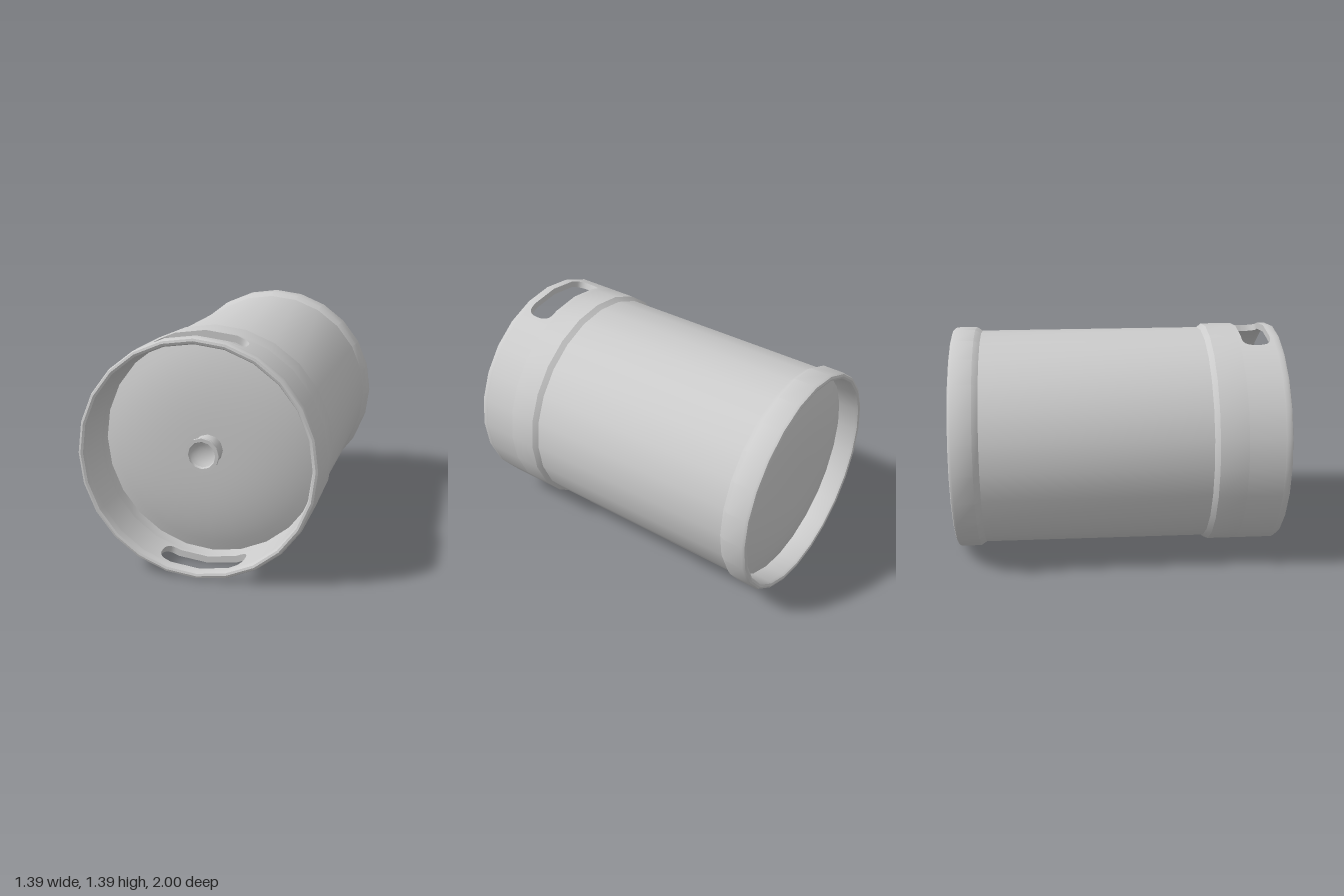
import * as THREE from 'three';
import { toCreasedNormals } from 'three/addons/utils/BufferGeometryUtils.js';

const SIDES = 24;
const STEP = (2 * Math.PI) / SIDES;
const R = 0.695;        // outer radius of the collars
const BODY = 0.672;     // radius of the barrel
const INNER = 0.655;    // inner radius of the collars
const SLOT_ANGLE = 1.5 * STEP;
const SLOT_Z = 0.848, SLOT_H = 0.0875;
const BAND = [0.74, 0.955]; // stretch of the front collar holding the hand slots

const material = new THREE.MeshStandardMaterial({ color: 0xcccccc, side: THREE.DoubleSide });

// Turned part around the z axis; profile points are [radius, z]
function turned(name, profile, sides = SIDES) {
  const points = profile.map(([r, z]) => new THREE.Vector2(r, z));
  const lathe = new THREE.LatheGeometry(points, sides).rotateX(Math.PI / 2);
  const mesh = new THREE.Mesh(toCreasedNormals(lathe, 0.6), material);
  mesh.name = name;
  return mesh;
}

// Convex head, from the axis to its edge
function domeProfile(edgeZ, rise) {
  const points = [];
  for (let i = 0; i <= 10; i++) {
    const t = i / 10;
    points.push([INNER * t, edgeZ + rise * (1 - t ** 3)]);
  }
  return points;
}

// Keeps a radius on the flat sides of the polygonal collar
function onPolygon(r, a) {
  const m = ((a % STEP) + STEP) % STEP;
  return (r * Math.cos(STEP / 2)) / Math.cos(m - STEP / 2);
}

// Ruled strip between two edges given as angle -> [r, z];
// facing: 1 outward, -1 inward, 0 computed from the faces
function strip(name, angles, edgeA, edgeB, facing) {
  const position = [], normal = [], index = [];
  angles.forEach((a, i) => {
    for (const [r, z] of [edgeA(a), edgeB(a)]) {
      const k = onPolygon(r, a);
      position.push(k * Math.sin(a), k * Math.cos(a), z);
      normal.push(facing * Math.sin(a), facing * Math.cos(a), 0);
    }
    if (i) {
      const p = 2 * i - 2;
      if (facing > 0) index.push(p, p + 1, p + 2, p + 1, p + 3, p + 2);
      else index.push(p, p + 2, p + 1, p + 1, p + 2, p + 3);
    }
  });
  const g = new THREE.BufferGeometry();
  g.setAttribute('position', new THREE.Float32BufferAttribute(position, 3));
  g.setAttribute('normal', new THREE.Float32BufferAttribute(normal, 3));
  g.setIndex(index);
  if (!facing) g.computeVertexNormals();
  const mesh = new THREE.Mesh(g, material);
  mesh.name = name;
  return mesh;
}

// Half height of a hand slot at angle t from its middle
function slotHalf(t) {
  const flat = SLOT_ANGLE * 0.74;
  const u = Math.min(1, Math.max(0, (Math.abs(t) - flat) / (SLOT_ANGLE - flat)));
  return SLOT_H * Math.pow(Math.max(0, 1 - u ** 2.6), 1 / 2.6);
}

// Front collar band with a rounded hand slot at the top and the bottom
function slottedBand() {
  const band = new THREE.Group();
  band.name = 'slottedBand';

  const slotAngles = [];
  for (let i = -6; i <= 6; i++) slotAngles.push((i / 6) * SLOT_ANGLE * 0.74);
  for (let i = 1; i <= 8; i++) {
    const e = SLOT_ANGLE * (0.74 + 0.26 * Math.sin((i / 8) * Math.PI / 2));
    slotAngles.push(e, -e);
  }
  slotAngles.push(STEP, -STEP);
  slotAngles.sort((a, b) => a - b);

  for (const centre of [0, Math.PI]) {
    const slot = slotAngles.map((t) => t + centre);
    const low = (a) => SLOT_Z - slotHalf(a - centre);
    const high = (a) => SLOT_Z + slotHalf(a - centre);
    // Solid side between this slot and the next
    const side = [centre + SLOT_ANGLE];
    for (let i = 2; i <= 10; i++) side.push(centre + i * STEP);
    side.push(centre + Math.PI - SLOT_ANGLE);

    for (const [r, facing] of [[R, 1], [INNER, -1]]) {
      band.add(strip('bandSide', side, () => [r, BAND[0]], () => [r, BAND[1]], facing));
      band.add(strip('bandBelowSlot', slot, () => [r, BAND[0]], (a) => [r, low(a)], facing));
      band.add(strip('bandAboveSlot', slot, (a) => [r, high(a)], () => [r, BAND[1]], facing));
    }
    // Cut faces of the slot
    band.add(strip('slotRearEdge', slot, (a) => [INNER, low(a)], (a) => [R, low(a)], 0));
    band.add(strip('slotFrontEdge', slot, (a) => [R, high(a)], (a) => [INNER, high(a)], 0));
  }
  return band;
}

export function createModel() {
  const keg = new THREE.Group();
  keg.name = 'keg';
  keg.position.y = R;

  // Barrel and its two heads
  keg.add(turned('barrel', [[BODY, -0.84], [BODY, 0.55]]));
  keg.add(turned('backHead', domeProfile(-0.865, -0.085)));
  keg.add(turned('frontHead', domeProfile(0.655, 0.085).reverse()));

  // Back collar with a rounded lip
  keg.add(turned('backCollar', [
    [INNER, -0.86], [INNER, -0.98], [0.662, -0.995], [0.675, -1], [0.688, -0.995],
    [R, -0.98], [R, -0.86], [BODY, -0.825],
  ]));

  // Front collar: shoulder, slotted band, rounded lip
  keg.add(turned('frontCollarShoulder', [[BODY, 0.54], [R, 0.57], [R, BAND[0]]]));
  keg.add(turned('frontCollarLining', [[INNER, BAND[0]], [INNER, 0.65]]));
  keg.add(slottedBand());
  keg.add(turned('frontLip', [
    [R, BAND[1]], [R, 0.98], [0.688, 0.995], [0.675, 1], [0.662, 0.995],
    [INNER, 0.98], [INNER, BAND[1]],
  ]));

  // Valve with flange and dished mouth
  keg.add(turned('valve', [
    [0.088, 0.72], [0.088, 0.845], [0.1, 0.845], [0.1, 0.865], [0.08, 0.865],
    [0.074, 0.85], [0.055, 0.838], [0.03, 0.831], [0, 0.828],
  ], 12));

  return keg;
}
